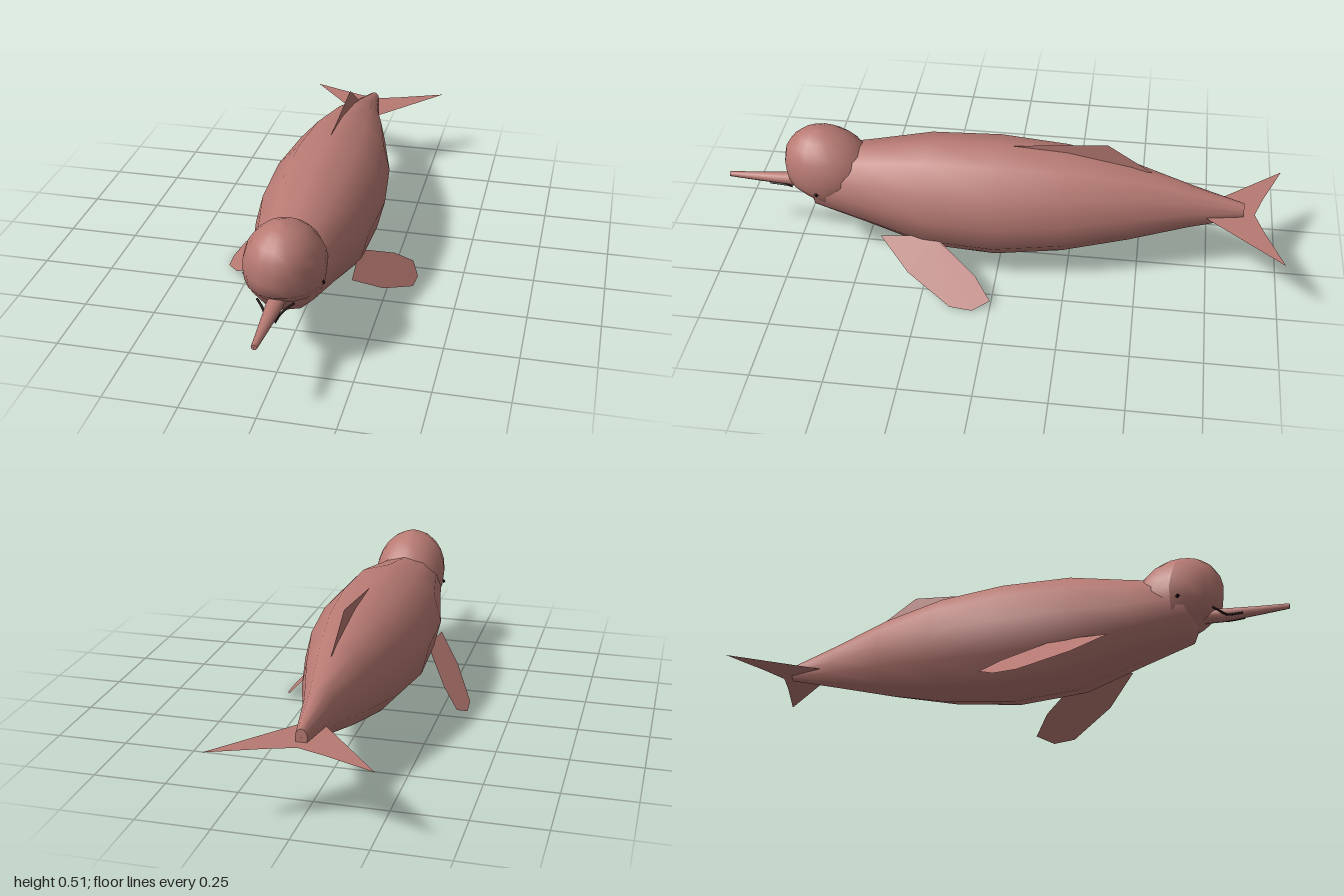
import * as THREE from 'three';

const skin = new THREE.MeshStandardMaterial({ color: 0xb87a73, side: THREE.DoubleSide });
skin.name = 'pink skin';
const dark = new THREE.MeshStandardMaterial({ color: 0x241616 });
dark.name = 'dark eye and mouth';

// Joins elliptical rings [z, top, bottom, halfWidth], listed from tail to nose.
// A ring listed twice gives a sharp edge.
function loft(rings, sides) {
  const pos = [], index = [];
  for (const [z, top, bottom, w] of rings) {
    for (let i = 0; i < sides; i++) {
      const a = (i / sides) * Math.PI * 2;
      pos.push(w * Math.sin(a), (top + bottom) / 2 + ((top - bottom) / 2) * Math.cos(a), z);
    }
  }
  for (let r = 0; r < rings.length - 1; r++) {
    for (let i = 0; i < sides; i++) {
      const j = (i + 1) % sides;
      const a = r * sides + i, b = r * sides + j, c = a + sides, d = b + sides;
      index.push(a, c, b, b, c, d);
    }
  }
  const g = new THREE.BufferGeometry();
  g.setAttribute('position', new THREE.Float32BufferAttribute(pos, 3));
  g.setIndex(index);
  g.computeVertexNormals();
  return g;
}

// Thin flat plate: a fan of triangles from the first corner.
function plate(points) {
  const g = new THREE.BufferGeometry();
  g.setAttribute('position', new THREE.Float32BufferAttribute(points.flat(), 3));
  const index = [];
  for (let i = 1; i < points.length - 1; i++) index.push(0, i, i + 1);
  g.setIndex(index);
  g.computeVertexNormals();
  return g;
}

export function createModel() {
  const model = new THREE.Group();
  model.name = 'riverDolphin';
  const add = (name, geometry, material = skin) => {
    const mesh = new THREE.Mesh(geometry, material);
    mesh.name = name;
    model.add(mesh);
    return mesh;
  };

  // Body, from the closed tail stump to the throat
  add('body', loft([
    [-0.86, 0.278, 0.276, 0.001],
    [-0.86, 0.306, 0.247, 0.02],
    [-0.86, 0.306, 0.247, 0.02],
    [-0.67, 0.365, 0.193, 0.055],
    [-0.46, 0.428, 0.132, 0.12],
    [-0.23, 0.470, 0.077, 0.18],
    [0.01, 0.484, 0.045, 0.208],
    [0.26, 0.475, 0.058, 0.198],
    [0.48, 0.432, 0.128, 0.15],
    [0.66, 0.400, 0.184, 0.118],
    [0.69, 0.340, 0.245, 0.06],
    [0.70, 0.281, 0.279, 0.001],
  ], 12));

  // Rounded forehead, drawn back under the chin
  const melon = new THREE.SphereGeometry(1, 16, 12);
  melon.scale(0.135, 0.157, 0.162);
  melon.translate(0, 0.335, 0.618);
  const p = melon.attributes.position;
  for (let i = 0; i < p.count; i++) {
    const y = p.getY(i), z = p.getZ(i);
    if (z > 0.62) p.setZ(i, Math.max(0.62, z - 1.4 * Math.max(0, 0.275 - y)));
    // Top of the head leans forward
    if (y > 0.335) p.setZ(i, p.getZ(i) + 0.2 * (y - 0.335));
  }
  melon.computeVertexNormals();
  add('forehead', melon);

  // Long slender beak
  add('beak', loft([
    [0.66, 0.288, 0.246, 0.028],
    [0.77, 0.286, 0.240, 0.027],
    [0.89, 0.277, 0.246, 0.018],
    [1.0, 0.271, 0.253, 0.010],
    [1.0, 0.271, 0.253, 0.010],
    [1.0, 0.263, 0.261, 0.001],
  ], 10));

  // Back fin
  add('dorsalFin', plate([
    [0, 0.40, -0.30], [0, 0.482, -0.04], [0, 0.515, -0.37], [0, 0.412, -0.53],
  ]));

  for (const s of [1, -1]) {
    const side = s > 0 ? 'left' : 'right';

    // Side flipper, sloping down and back
    const outline = [[0.16, 0.22], [0.172, 0.41], [0.26, 0.30], [0.338, 0.14],
      [0.343, 0.06], [0.315, 0.0], [0.255, 0.06], [0.18, 0.195]];
    add(side + 'Flipper', plate(outline.map(([x, z]) => [s * x, 0.163 - (x - 0.18) * 0.97, z])));

    // Half of the tail fluke
    add(side + 'Fluke', plate([
      [s * 0.09, 0.262, -0.93], [s * 0.265, 0.262, -1.0], [s * 0.037, 0.262, -0.725],
      [0, 0.262, -0.68], [0, 0.262, -0.9],
    ]));

    // Eye
    const eye = add(side + 'Eye', new THREE.OctahedronGeometry(0.009), dark);
    eye.scale.x = 0.7;
    eye.position.set(s * 0.13, 0.296, 0.645);

    // Mouth line
    const mouth = new THREE.CatmullRomCurve3([
      [0.060, 0.271, 0.748], [0.042, 0.263, 0.768], [0.026, 0.252, 0.79], [0.021, 0.252, 0.845],
    ].map(([x, y, z]) => new THREE.Vector3(s * x, y, z)));
    add(side + 'Mouth', new THREE.TubeGeometry(mouth, 10, 0.004, 6), dark);
  }
  return model;
}
